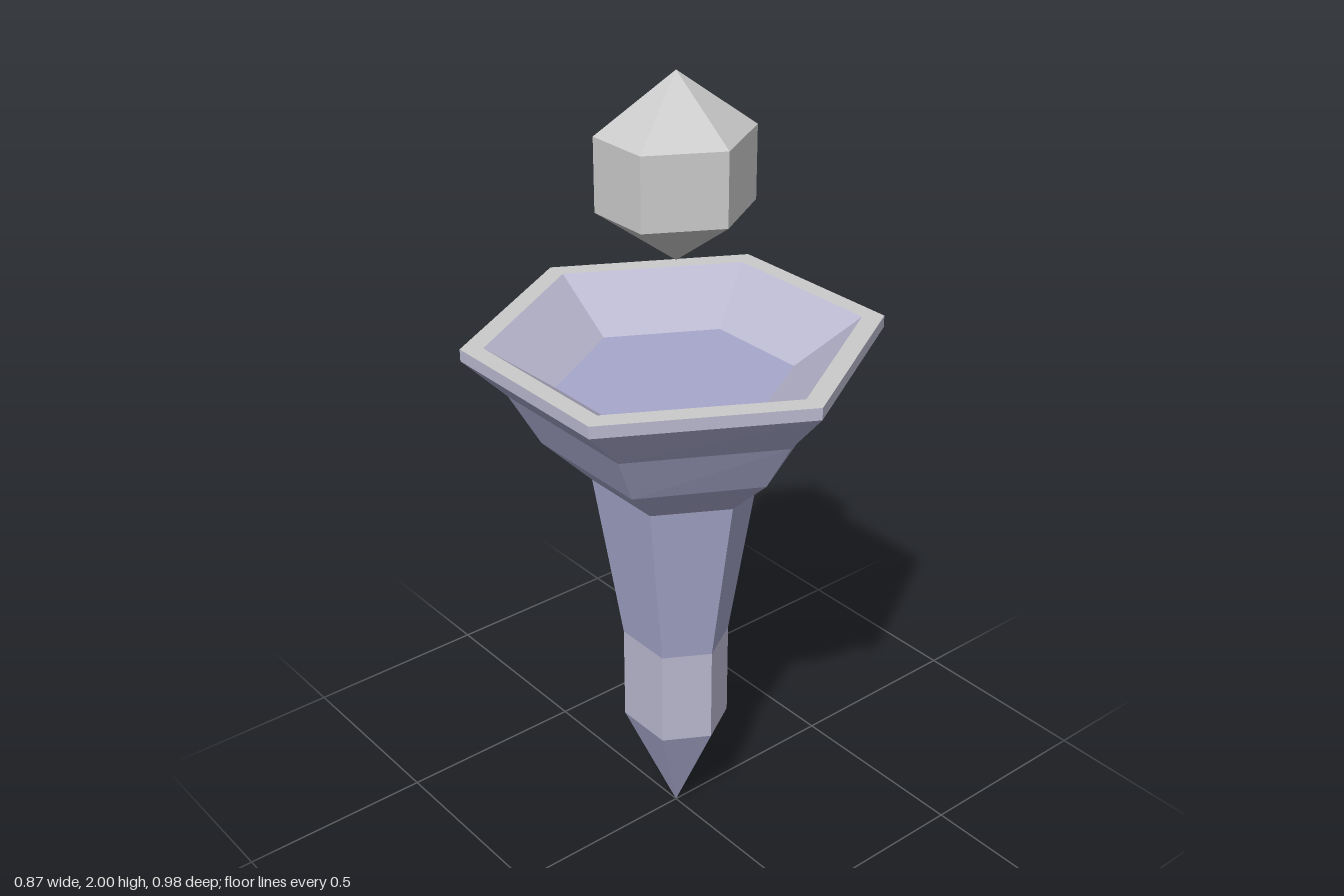
import * as THREE from 'three';

// A level is [y, half width in x, z of the front/back corner, z of the side corners].
function hexRing([y, x, zTip, zSide]) {
  return [
    [0, y, zTip], [x, y, zSide], [x, y, -zSide],
    [0, y, -zTip], [-x, y, -zSide], [-x, y, zSide],
  ];
}

// Skins consecutive hexagonal levels with flat faces; levels going up face outwards.
function hexSkin(name, color, levels) {
  const positions = [];
  const rings = levels.map(hexRing);
  const closed = (level) => level[1] === 0;
  for (let i = 0; i < rings.length - 1; i++) {
    const low = rings[i], high = rings[i + 1];
    for (let k = 0; k < 6; k++) {
      const n = (k + 1) % 6;
      if (!closed(levels[i])) positions.push(...low[k], ...low[n], ...high[n]);
      if (!closed(levels[i + 1])) positions.push(...low[k], ...high[n], ...high[k]);
    }
  }
  const geometry = new THREE.BufferGeometry();
  geometry.setAttribute('position', new THREE.Float32BufferAttribute(positions, 3));
  geometry.computeVertexNormals();
  const mesh = new THREE.Mesh(geometry, new THREE.MeshStandardMaterial({ color, flatShading: true }));
  mesh.name = name;
  return mesh;
}

export function createModel() {
  const group = new THREE.Group();
  group.name = 'floatingCrystalTorch';

  const blue = 0xa7a8cc, lilac = 0xbbb9d0, grey = 0xcccccc;

  // Shared levels
  const collarLow = [0.295, 0.108, 0.14, 0.077];
  const collarHigh = [0.55, 0.108, 0.14, 0.077];
  const rimLow = [1.35, 0.437, 0.492, 0.242];
  const rimHigh = [1.38, 0.437, 0.492, 0.242];
  const rimInner = [1.38, 0.392, 0.44, 0.213];
  const floor = [1.265, 0.252, 0.278, 0.134];

  group.add(
    // Handle
    hexSkin('spike', blue, [[0, 0, 0, 0], collarLow]),
    hexSkin('collar', lilac, [collarLow, collarHigh]),
    // Flaring shaft and bowl
    hexSkin('shaftAndBowl', blue, [
      collarHigh,
      [1.0, 0.17, 0.209, 0.111],
      [1.11, 0.271, 0.322, 0.172],
      [1.24, 0.335, 0.398, 0.208],
      rimLow,
    ]),
    // Rim and recess
    hexSkin('rimEdge', lilac, [rimLow, rimHigh]),
    hexSkin('rimTop', grey, [rimHigh, rimInner]),
    hexSkin('bowlWall', lilac, [rimInner, floor]),
    hexSkin('bowlFloor', blue, [floor, [floor[0], 0, 0, 0]]),
    // Floating crystal
    hexSkin('crystal', grey, [
      [1.56, 0, 0, 0],
      [1.69, 0.166, 0.178, 0.082],
      [1.865, 0.166, 0.178, 0.082],
      [2, 0, 0, 0],
    ]),
  );
  return group;
}
